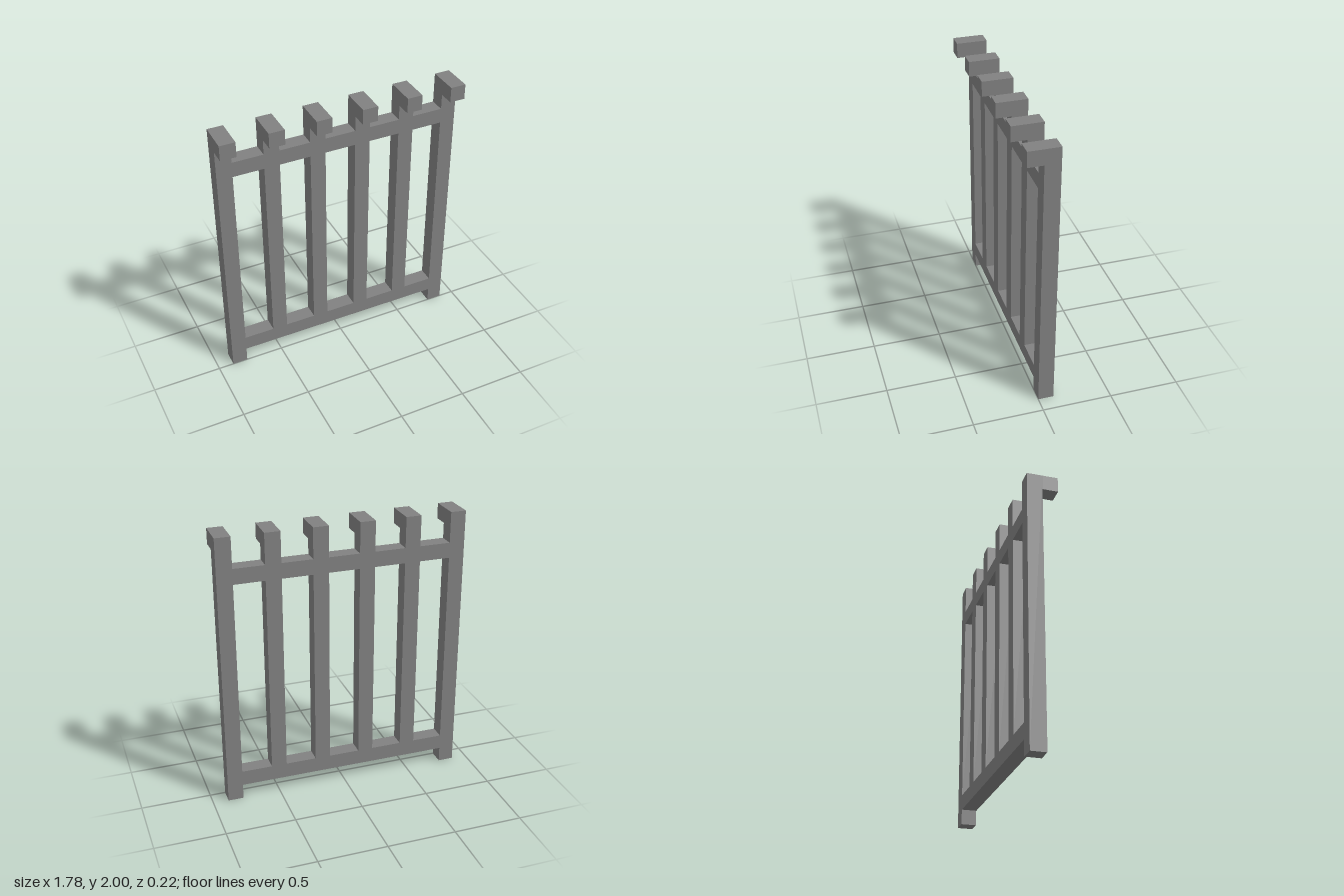
import * as THREE from 'three';

const U = 1 / 9; // bar thickness; the gate is 16 x 18 bars in size
const COUNT = 6;
const left = (i) => -8 + 3 * i; // left edge of upright i, in bars

export function createModel() {
  const group = new THREE.Group();
  group.name = 'barredGate';
  const iron = new THREE.MeshStandardMaterial({ color: 0x808080 });
  iron.name = 'grey iron';

  const pts = (list) => list.map(([x, y]) => new THREE.Vector2(x * U, y * U));

  // Outline: two feet below, notches between the uprights above
  const outline = [[-8, 0], [-7, 0], [-7, 1], [7, 1], [7, 0], [8, 0], [8, 18]];
  for (let i = COUNT - 1; i > 0; i--) {
    const a = left(i), b = left(i - 1) + 1;
    outline.push([a, 18], [a, 16], [b, 16], [b, 18]);
  }
  outline.push([-8, 18]);
  const shape = new THREE.Shape(pts(outline));

  // Openings between the uprights and the two rails
  for (let i = 0; i < COUNT - 1; i++) {
    const a = left(i) + 1, b = left(i + 1);
    shape.holes.push(new THREE.Path(pts([[a, 2], [a, 15], [b, 15], [b, 2]])));
  }

  const frame = new THREE.Mesh(
    new THREE.ExtrudeGeometry(shape, { depth: U, bevelEnabled: false }), iron);
  frame.name = 'uprightsAndRails';
  frame.position.z = -U;
  group.add(frame);

  // Square hook facing forward at the top of each upright
  const hookGeometry = new THREE.BoxGeometry(U, U, U);
  for (let i = 0; i < COUNT; i++) {
    const hook = new THREE.Mesh(hookGeometry, iron);
    hook.name = `topHook${i + 1}`;
    hook.position.set((left(i) + 0.5) * U, 17.5 * U, 0.5 * U);
    group.add(hook);
  }
  return group;
}
